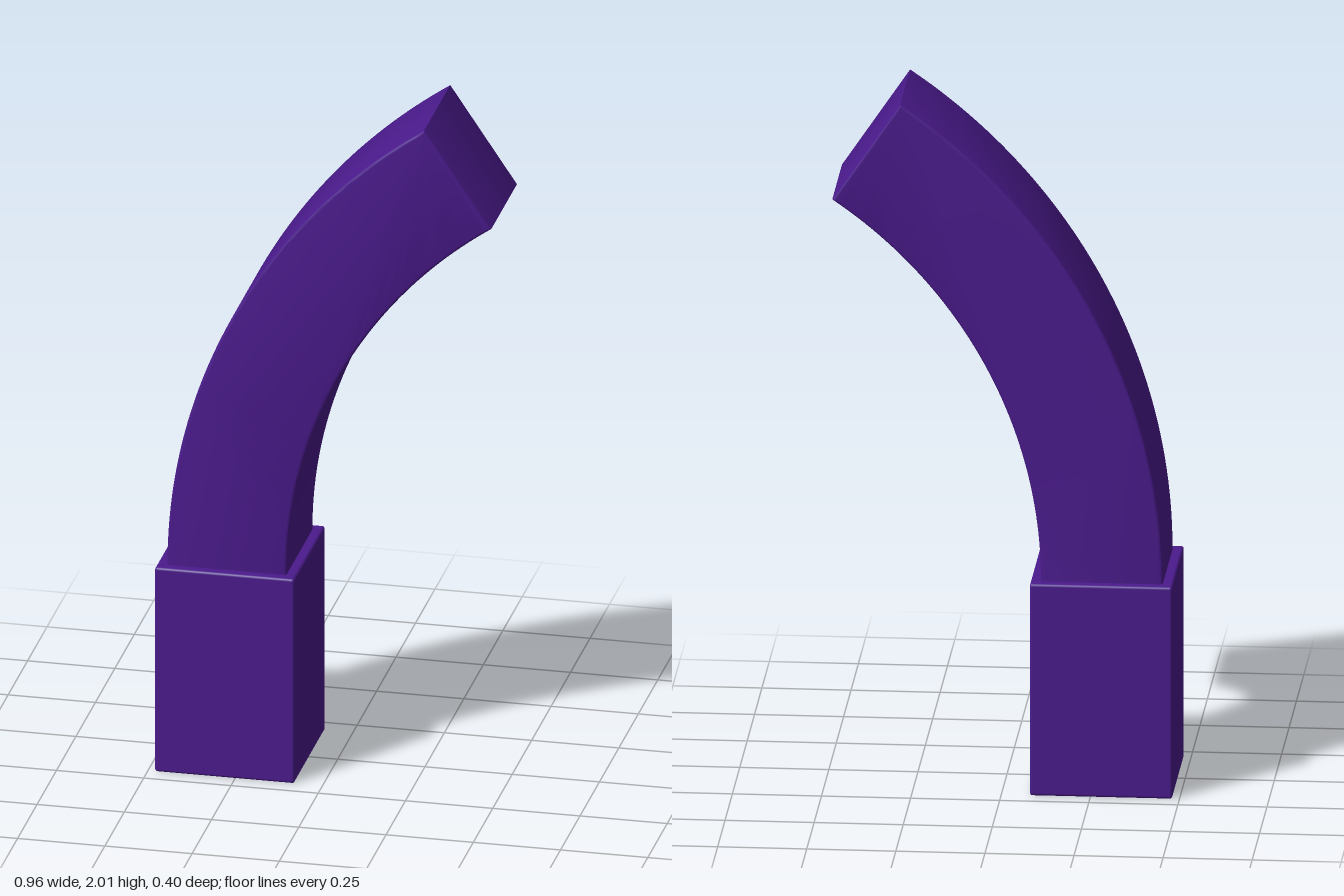
import * as THREE from 'three';
import { toCreasedNormals } from 'three/addons/utils/BufferGeometryUtils.js';
import { RoundedBoxGeometry } from 'three/addons/geometries/RoundedBoxGeometry.js';

export function createModel() {
  const group = new THREE.Group();
  const material = new THREE.MeshStandardMaterial({ color: 0x4a1a8c });

  // Square socket at the foot
  const base = new THREE.Mesh(new RoundedBoxGeometry(0.4, 0.62, 0.4, 3, 0.008), material);
  base.name = 'base';
  base.position.set(-0.28, 0.31, 0);
  group.add(base);

  // Square-section arm: circular arc leaving the socket vertically
  const radius = 1.5, half = 0.171, sweep = THREE.MathUtils.degToRad(56);
  const cx = -0.28 + radius, cy = 0.62, bevel = 0.008, steps = 48;
  const outline = [];
  const addArc = (r, reverse) => {
    for (let i = 0; i <= steps; i++) {
      const a = sweep * (reverse ? 1 - i / steps : i / steps);
      outline.push(new THREE.Vector2(cx - r * Math.cos(a), cy + r * Math.sin(a)));
    }
  };
  // Short straight stub hidden inside the socket
  outline.push(new THREE.Vector2(cx - radius - half, 0.56));
  addArc(radius + half, false);
  addArc(radius - half, true);
  outline.push(new THREE.Vector2(cx - radius + half, 0.56));

  const depth = 0.344 - 2 * bevel;
  const armGeometry = new THREE.ExtrudeGeometry(new THREE.Shape(outline), {
    depth, bevelEnabled: true, bevelThickness: bevel, bevelSize: bevel,
    bevelOffset: -bevel, bevelSegments: 3,
  });
  armGeometry.translate(0, 0, -depth / 2);
  const arm = new THREE.Mesh(toCreasedNormals(armGeometry, 0.6), material);
  arm.name = 'curvedArm';
  group.add(arm);

  return group;
}
